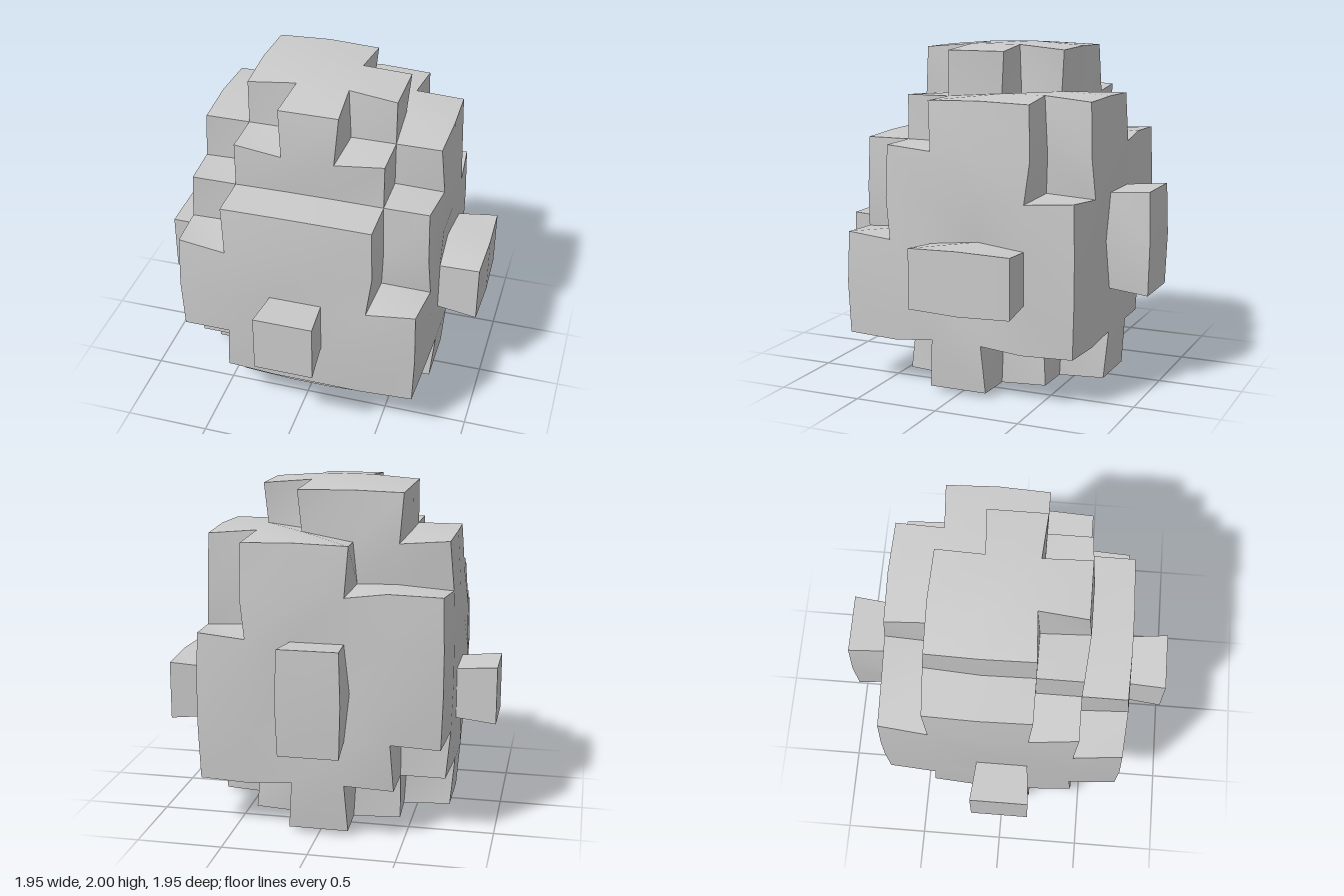
import * as THREE from 'three';
import { toCreasedNormals } from 'three/addons/utils/BufferGeometryUtils.js';

const CELL = 0.265;    // edge of one block
const PUFF = 0.0725;   // how far the block surface is inflated

// Body layers from bottom to top; rows run back to front, letters run from -x to +x.
const LAYERS = [
  ['..#..', '.###.', '#####', '.###.', '.....'],
  ['.####', '#####', '#####', '#####', '.####'],
  ['#####', '#####', '#####', '#####', '#####'],
  ['#####', '#####', '#####', '#####', '####.'],
  ['####.', '#####', '#####', '#####', '.###.'],
  ['..##.', '#####', '#####', '.###.', '.....'],
  ['.....', '.##..', '.###.', '..#..', '.....'],
];

// Knobs on the four sides, as block positions [x, layer, z].
const KNOBS = {
  frontKnob: [[0, 2, 3]],
  backKnob: [[0, 2, -3], [0, 3, -3]],
  leftKnob: [[3, 2, 0], [3, 2, -1]],
  rightKnob: [[-3, 2, 0]],
};

function collectBlocks() {
  const blocks = new Map();
  const add = (p, part) => blocks.set(p.join(), { p, part });
  LAYERS.forEach((rows, y) => rows.forEach((row, z) => [...row].forEach((ch, x) => {
    if (ch === '#') add([x - 2, y, z - 2], 'body');
  })));
  for (const [part, cells] of Object.entries(KNOBS)) cells.forEach((p) => add(p, part));
  return blocks;
}

// Outward quads between filled blocks and empty space.
function collectFaces(blocks) {
  const faces = [];
  for (const { p, part } of blocks.values()) {
    for (let d = 0; d < 3; d++) {
      for (const sign of [-1, 1]) {
        const next = [...p];
        next[d] += sign;
        if (blocks.has(next.join())) continue;
        const corners = [[0, 0], [1, 0], [1, 1], [0, 1]].map(([a, b]) => {
          const c = [...p];
          if (sign > 0) c[d] += 1;
          c[(d + 1) % 3] += a;
          c[(d + 2) % 3] += b;
          return c;
        });
        if (sign < 0) corners.reverse();
        faces.push({ part, d, sign, corners });
      }
    }
  }
  return faces;
}

export function createModel() {
  const group = new THREE.Group();
  const faces = collectFaces(collectBlocks());

  // Average outward direction at every shared corner
  const normals = new Map();
  for (const { d, sign, corners } of faces) {
    for (const c of corners) {
      const key = c.join();
      if (!normals.has(key)) normals.set(key, new THREE.Vector3());
      const n = normals.get(key);
      n.setComponent(d, n.getComponent(d) + sign);
    }
  }
  for (const n of normals.values()) n.normalize();

  // Inflated corner position
  const place = (c) => new THREE.Vector3(
    (c[0] - 0.5) * CELL, c[1] * CELL + PUFF, (c[2] - 0.5) * CELL,
  ).addScaledVector(normals.get(c.join()), PUFF);

  const material = new THREE.MeshStandardMaterial({ color: 0xcccccc });
  for (const part of ['body', ...Object.keys(KNOBS)]) {
    const points = [];
    for (const face of faces) {
      if (face.part !== part) continue;
      const q = face.corners.map(place);
      points.push(q[0], q[1], q[2], q[0], q[2], q[3]);
    }
    const geometry = new THREE.BufferGeometry().setFromPoints(points);
    const mesh = new THREE.Mesh(toCreasedNormals(geometry, Math.PI / 6), material);
    mesh.name = part;
    group.add(mesh);
  }
  return group;
}
